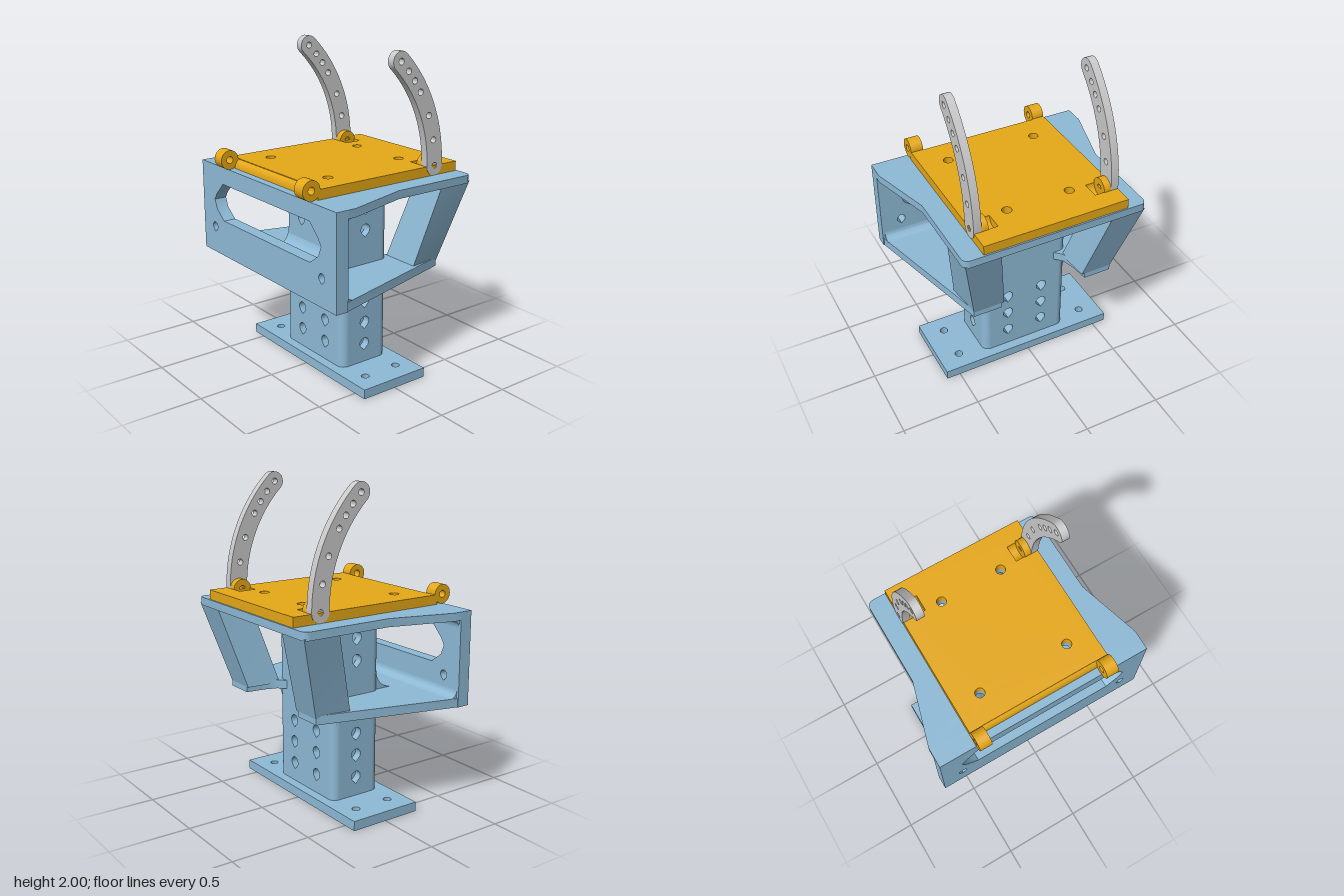
import * as THREE from 'three';
import { toCreasedNormals } from 'three/addons/utils/BufferGeometryUtils.js';

const blue = new THREE.MeshStandardMaterial({ color: 0x8ebad6, side: THREE.DoubleSide });
const gold = new THREE.MeshStandardMaterial({ color: 0xe6a817, side: THREE.DoubleSide });
const grey = new THREE.MeshStandardMaterial({ color: 0xcccccc, side: THREE.DoubleSide });

const poly = (pts) => new THREE.Shape(pts.map(([a, b]) => new THREE.Vector2(a, b)));
const rect = (a0, b0, a1, b1) => poly([[a0, b0], [a1, b0], [a1, b1], [a0, b1]]);
const circle = (x, y, r) => new THREE.Path().absarc(x, y, r, 0, Math.PI * 2, true);

// Round hole with a point at the bottom
function teardrop(x, y, r) {
  const p = new THREE.Path();
  p.absarc(x, y, r, -Math.PI / 4, Math.PI * 1.25, false);
  p.lineTo(x, y - r * 1.42);
  p.closePath();
  return p;
}

// Concave fillet with its corner at (a, b), reaching sa and sb along the axes
function cove(a, b, sa, sb) {
  const s = new THREE.Shape();
  s.moveTo(a, b);
  s.lineTo(a + sa, b);
  for (let i = 1; i <= 12; i++) {
    const t = (i / 12) * Math.PI / 2;
    s.lineTo(a + sa * (1 - Math.sin(t)), b + sb * (1 - Math.cos(t)));
  }
  return s;
}

export function createModel() {
  const model = new THREE.Group();

  const add = (name, geo, mat) => {
    const m = new THREE.Mesh(geo, mat);
    m.name = name;
    model.add(m);
    return m;
  };
  const extrude = (shape, depth, holes) => {
    shape.holes.push(...holes);
    return toCreasedNormals(new THREE.ExtrudeGeometry(shape, { depth, bevelEnabled: false, curveSegments: 16 }), 0.6);
  };
  // Slabs along each axis: shape planes are (x, y), (z, y) and (x, z)
  const slabZ = (name, shape, z0, z1, mat, holes = []) =>
    add(name, extrude(shape, z1 - z0, holes).translate(0, 0, z0), mat);
  const slabX = (name, shape, x0, x1, mat, holes = []) =>
    add(name, extrude(shape, x1 - x0, holes).rotateY(-Math.PI / 2).translate(x1, 0, 0), mat);
  const slabY = (name, shape, y0, y1, mat, holes = []) =>
    add(name, extrude(shape, y1 - y0, holes).rotateX(Math.PI / 2).translate(0, y1, 0), mat);
  // Same slab along x on both sides
  const pairX = (name, shape, x0, x1, mat, holes = []) => {
    slabX(name + 'Left', shape(), x0, x1, mat, holes);
    slabX(name + 'Right', shape(), -x1, -x0, mat, holes);
  };
  const mirrorPts = (half) => [...half, ...half.map(([x, z]) => [-x, z]).reverse()];

  // Base plate with four screw holes
  const baseHoles = [];
  for (const x of [-0.455, 0.455]) for (const z of [-0.12, 0.12]) baseHoles.push(circle(x, z, 0.025));
  slabY('basePlate', rect(-0.59, -0.235, 0.59, 0.235), 0, 0.06, blue, baseHoles);

  // Column: pierced walls, rounded corners and a filled lower core
  const low = [0.185, 0.33, 0.47], high = [0.93, 1.07];
  const drops = (xs, ys) => xs.flatMap((x) => ys.map((y) => teardrop(x, y, 0.034)));
  const columnXs = [-0.12, 0.12];
  const wallHoles = () => drops(columnXs, [...low, ...high]);
  slabZ('columnFront', rect(-0.245, 0.06, 0.245, 1.19), 0.036, 0.175, blue, wallHoles());
  slabZ('columnBack', rect(-0.245, 0.06, 0.245, 1.19), -0.175, -0.036, blue, wallHoles());
  slabZ('columnCore', rect(-0.245, 0.06, 0.245, 0.8), -0.036, 0.036, blue, drops(columnXs, low));
  pairX('columnSide', () => rect(-0.125, 0.06, 0.125, 1.19), 0.245, 0.295, blue, drops([0], [...low, ...high]));
  for (const x of [-0.245, 0.245]) for (const z of [-0.125, 0.125]) {
    add('columnCorner', new THREE.CylinderGeometry(0.05, 0.05, 1.13, 32).translate(x, 0.625, z), blue);
  }

  // Flares where the column meets the shelf
  for (const s of [-1, 1]) {
    slabZ('columnFlare', cove(s * 0.29, 0.656, s * 0.12, -0.11), -0.15, 0.15, blue);
  }
  slabX('columnFillet', cove(0.17, 0.71, 0.12, 0.12), -0.27, 0.27, blue);

  // Lower shelf with two rear tips
  slabY('shelf', poly(mirrorPts([
    [0.705, 0.53], [0.705, 0.47], [0.47, -0.42], [0.29, -0.42], [0.275, -0.3], [0.25, -0.22], [0.2, -0.17],
  ])), 0.655, 0.71, blue);

  // Top plate with rounded rear corners
  const plateHoles = () => [-1, 1].flatMap((s) => [circle(s * 0.205, -0.33, 0.03), circle(s * 0.295, 0.28, 0.03)]);
  const corner = [0, 1, 2, 3, 4].map((i) => {
    const t = (i / 4) * Math.PI / 2;
    return [0.55 + 0.04 * Math.cos(t), -0.535 - 0.04 * Math.sin(t)];
  });
  slabY('topPlate', poly(mirrorPts([[0.705, 0.53], [0.705, 0.4], [0.59, 0], ...corner])), 1.19, 1.24, blue, plateHoles());

  // Front panel with a long window and two small holes
  const windowHole = poly([
    [-0.46, 0.89], [0.46, 0.89], [0.54, 0.95], [0.565, 1.01], [0.54, 1.05], [0.46, 1.13],
    [-0.46, 1.13], [-0.54, 1.05], [-0.565, 1.01], [-0.54, 0.95],
  ]);
  slabZ('frontPanel', rect(-0.705, 0.655, 0.705, 1.24), 0.45, 0.53, blue,
    [windowHole, teardrop(-0.57, 0.83, 0.027), teardrop(0.57, 0.83, 0.027)]);
  slabX('panelLowerFillet', cove(0.45, 0.71, -0.05, 0.05), -0.69, 0.69, blue);
  slabX('panelUpperFillet', cove(0.45, 1.19, -0.05, -0.05), -0.69, 0.69, blue);

  // Leaning rear braces, lofted from a lower to an upper quad
  const bottom = [[0.47, -0.42], [0.27, -0.42], [0.25, -0.2], [0.5, -0.2]];
  const top = [[0.58, -0.572], [0.36, -0.572], [0.36, -0.34], [0.585, -0.34]];
  for (const s of [-1, 1]) {
    const pos = [], idx = [], rows = 8;
    for (let r = 0; r <= rows; r++) {
      const t = r / rows;
      for (let c = 0; c < 4; c++) {
        pos.push(s * THREE.MathUtils.lerp(bottom[c][0], top[c][0], t), 0.69 + 0.51 * t,
          THREE.MathUtils.lerp(bottom[c][1], top[c][1], t));
        if (r === rows) continue;
        const a = r * 4 + c, b = r * 4 + (c + 1) % 4;
        if (s > 0) idx.push(a, b, b + 4, a, b + 4, a + 4);
        else idx.push(a, b + 4, b, a, a + 4, b + 4);
      }
    }
    const g = new THREE.BufferGeometry();
    g.setAttribute('position', new THREE.Float32BufferAttribute(pos, 3));
    g.setIndex(idx);
    add(s > 0 ? 'braceLeft' : 'braceRight', toCreasedNormals(g, 0.5), blue);
  }

  // Tilting plate with screw holes and curved pockets
  const pockets = [rect(0.315, -0.44, 0.375, -0.33), rect(-0.375, -0.44, -0.315, -0.33)];
  slabY('tiltPlate', rect(-0.465, -0.565, 0.465, 0.455), 1.24, 1.3, gold, [...plateHoles(), ...pockets]);
  for (const s of [-1, 1]) {
    const g = new THREE.CylinderGeometry(0.055, 0.055, 0.06, 24, 1, true, 0, Math.PI);
    g.rotateZ(-Math.PI / 2).rotateX(Math.PI / 2);
    // Keep the open half of the trough facing up
    g.computeBoundingBox();
    if (g.boundingBox.max.y > 0.03) g.rotateX(g.boundingBox.min.y < -0.03 ? Math.PI / 2 : Math.PI);
    g.computeBoundingBox();
    if (g.boundingBox.max.y > 0.03) g.rotateX(Math.PI);
    add('pocketTrough', g.translate(s * 0.345, 1.3, -0.385), gold);
  }
  slabX('plateFrontLip', poly([[0.45, 1.24], [0.48, 1.24], [0.478, 1.265], [0.468, 1.285], [0.45, 1.3]]), -0.39, 0.39, gold);

  // Front hinge barrels
  const barrel = (z) => new THREE.Shape().absarc(z, 1.3, 0.06, 0, Math.PI * 2, false);
  pairX('hingeBarrel', () => barrel(0.518), 0.385, 0.465, gold, [circle(0.518, 1.3, 0.022)]);
  pairX('hingeFoot', () => rect(0.44, 1.24, 0.475, 1.3), 0.385, 0.465, gold);

  // Rear lugs beside the arms
  pairX('armLug', () => barrel(-0.385), 0.375, 0.42, gold, [circle(-0.385, 1.3, 0.02)]);

  // Curved arms: an arc band with round ends and a row of holes
  const cz = 0.505, cy = 1.3, R = 0.89, w = 0.06, end = 0.81;
  const onArc = (a, r = R) => [cz - r * Math.cos(a), cy + r * Math.sin(a)];
  const arm = () => {
    const pts = [];
    for (let i = 0; i <= 24; i++) pts.push(onArc((end * i) / 24, R + w));
    const cap = (a, dir) => {
      const [z, y] = onArc(a);
      for (let i = 1; i < 12; i++) {
        const t = (i / 12) * Math.PI;
        const out = w * Math.cos(t), along = dir * w * Math.sin(t);
        pts.push([z - out * Math.cos(a) + along * Math.sin(a), y + out * Math.sin(a) + along * Math.cos(a)]);
      }
    };
    cap(end, 1);
    for (let i = 24; i >= 0; i--) pts.push(onArc((end * i) / 24, R - w));
    for (let i = 1; i < 12; i++) {
      const t = (i / 12) * Math.PI;
      pts.push([cz - R + w * Math.cos(t), cy - w * Math.sin(t)]);
    }
    return poly(pts);
  };
  const armHoles = [0, 0.18, 0.356, 0.537, 0.631, 0.717, end].map((a) => circle(...onArc(a), 0.019));
  pairX('arm', arm, 0.419, 0.468, grey, armHoles);

  return model;
}
